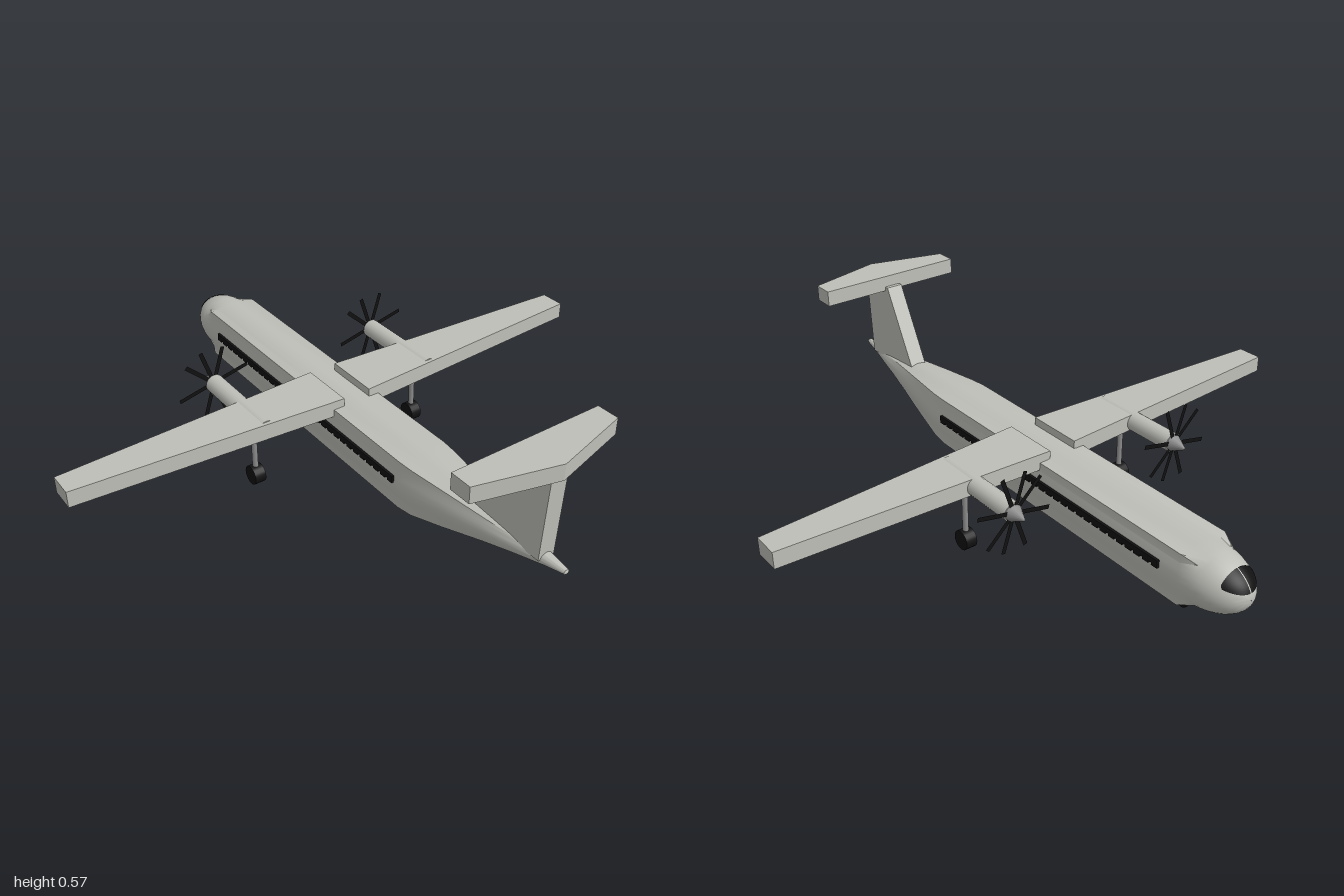
import * as THREE from 'three';
import { toCreasedNormals } from 'three/addons/utils/BufferGeometryUtils.js';

export function createModel() {
  const model = new THREE.Group();
  const mat = (name, color, side = THREE.FrontSide) => {
    const m = new THREE.MeshStandardMaterial({ color, side });
    m.name = name;
    return m;
  };
  const paint = mat('pale grey paint', 0xbfbfb9);
  const metal = mat('strut grey', 0x8c8c8c);
  const black = mat('black', 0x111111, THREE.DoubleSide);

  const add = (name, geometry, material, x = 0, y = 0, z = 0, parent = model) => {
    const mesh = new THREE.Mesh(geometry, material);
    mesh.name = name;
    mesh.position.set(x, y, z);
    parent.add(mesh);
    return mesh;
  };

  // Horizontal slab from a plan outline of [x, z] points
  const slab = (points, y0, y1) => {
    const shape = new THREE.Shape(points.map(([x, z]) => new THREE.Vector2(x, -z)));
    return new THREE.ExtrudeGeometry(shape, { depth: y1 - y0, bevelEnabled: false })
      .rotateX(-Math.PI / 2).translate(0, y0, 0);
  };

  // Fuselage: round nose, boxy cabin and rising tail cone
  const midY = 0.173, noseZ = -0.83, noseLength = 0.17, radius = 0.1;
  const sections = []; // z, centre y, half width, half height, boxiness
  for (let i = 0; i <= 10; i++) {
    const a = Math.max(i * 0.14, 0.01);
    const w = radius * Math.sin(a);
    sections.push([noseZ - noseLength * Math.cos(a), midY, w, w, 0]);
  }
  sections.push(
    [-0.81, midY, 0.1, 0.099, 1],
    [0.36, midY, 0.1, 0.099, 1],
    [0.42, 0.175, 0.097, 0.097, 0.9],
    [0.55, 0.189, 0.08, 0.08, 0.7],
    [0.7, 0.206, 0.058, 0.056, 0.4],
    [0.8, 0.217, 0.043, 0.04, 0.2],
    [0.92, 0.228, 0.022, 0.02, 0],
    [0.995, 0.233, 0.01, 0.008, 0],
    [1, 0.233, 0.0005, 0.0005, 0],
  );
  const sides = 32, pos = [], index = [];
  sections.forEach(([z, cy, w, h, box], j) => {
    for (let i = 0; i < sides; i++) {
      const a = (i / sides) * Math.PI * 2, c = Math.cos(a), s = Math.sin(a);
      const square = (1 - 0.1 * Math.sin(2 * a) ** 2) / Math.max(Math.abs(c), Math.abs(s));
      const r = 1 + (square - 1) * box;
      pos.push(w * r * c, cy + h * r * s, z);
      if (j < sections.length - 1) {
        const p = j * sides + i, q = j * sides + (i + 1) % sides;
        index.push(p, q, p + sides, q, q + sides, p + sides);
      }
    }
  });
  const hull = new THREE.BufferGeometry();
  hull.setAttribute('position', new THREE.Float32BufferAttribute(pos, 3));
  hull.setIndex(index);
  add('fuselage', toCreasedNormals(hull, 0.6), paint);

  // Fin and T-tail
  const finShape = new THREE.Shape([[0.635, 0.235], [0.915, 0.23], [0.93, 0.53], [0.785, 0.53]]
    .map(([z, y]) => new THREE.Vector2(-z, y)));
  add('fin', new THREE.ExtrudeGeometry(finShape, { depth: 0.06, bevelEnabled: false })
    .rotateY(Math.PI / 2).translate(-0.03, 0, 0), paint);
  add('tailplane', slab([[-0.267, 0.8], [0.267, 0.8], [0.267, 0.875], [0, 0.945], [-0.267, 0.875]],
    0.515, 0.57), paint);

  // Cylinder lying along x
  const wheel = (r, width) => new THREE.CylinderGeometry(r, r, width, 20).rotateZ(Math.PI / 2);

  for (const side of [1, -1]) {
    const label = side > 0 ? 'left' : 'right';

    // Tapered wing
    add(label + 'Wing', slab([[0.05, -0.19], [0.995, -0.14], [0.995, -0.05], [0.05, 0.012]]
      .map(([x, z]) => [x * side, z]), 0.236, 0.293), paint);

    // Engine with spinner and flat propeller blades
    const ex = 0.33 * side, ey = 0.264;
    add(label + 'Nacelle', new THREE.CylinderGeometry(0.033, 0.033, 0.34, 16).rotateX(Math.PI / 2),
      paint, ex, ey, -0.19);
    add(label + 'Spinner', new THREE.ConeGeometry(0.03, 0.06, 16).rotateX(-Math.PI / 2),
      metal, ex, ey, -0.39);
    const propeller = new THREE.Group();
    propeller.name = label + 'Propeller';
    propeller.position.set(ex, ey, -0.364);
    model.add(propeller);
    for (const degrees of [13, 72, 108, 137]) {
      add('bladePair', new THREE.PlaneGeometry(0.272, 0.015), black, 0, 0, 0, propeller)
        .rotation.z = THREE.MathUtils.degToRad(degrees);
    }

    // Main landing gear
    add(label + 'MainStrut', new THREE.CylinderGeometry(0.01, 0.01, 0.21, 12), metal, ex, 0.14, -0.11);
    add(label + 'MainWheel', wheel(0.034, 0.04), black, ex, 0.034, -0.11);

    // Cabin window row
    const wx = 0.1035 * side;
    add(label + 'WindowBand', new THREE.BoxGeometry(0.009, 0.019, 1.09), black, wx, 0.197, -0.195);
    for (let i = 0; i < 30; i++) {
      add(label + 'Window', new THREE.BoxGeometry(0.009, 0.01, 0.024), black,
        wx, 0.185, -0.728 + i * 0.0367);
    }

    // Windscreen pane wrapped over the nose
    const pane = new THREE.PlaneGeometry(1, 1, 10, 6), p = pane.attributes.position;
    for (let i = 0; i < p.count; i++) {
      const u = p.getX(i) + 0.5, v = p.getY(i) + 0.5;
      const az = 0.02 + u * 0.74;
      const low = 0.24 + 0.14 * u * u;
      const high = Math.acos(0.64 / Math.cos(az));
      const el = low + (high - low) * v, k = 1.02;
      p.setXYZ(i, side * k * radius * Math.cos(el) * Math.sin(az),
        midY + k * radius * Math.sin(el),
        noseZ - (noseLength + 0.002) * Math.cos(el) * Math.cos(az));
    }
    // Keep the outward face in front on both sides
    if (side > 0) pane.index.array.reverse();
    pane.computeVertexNormals();
    add(label + 'Windscreen', pane, black);
  }

  // Nose gear
  add('noseStrut', new THREE.CylinderGeometry(0.006, 0.006, 0.08, 10), metal, 0, 0.07, -0.76);
  add('noseWheel', wheel(0.021, 0.025), black, 0, 0.029, -0.76);

  return model;
}
